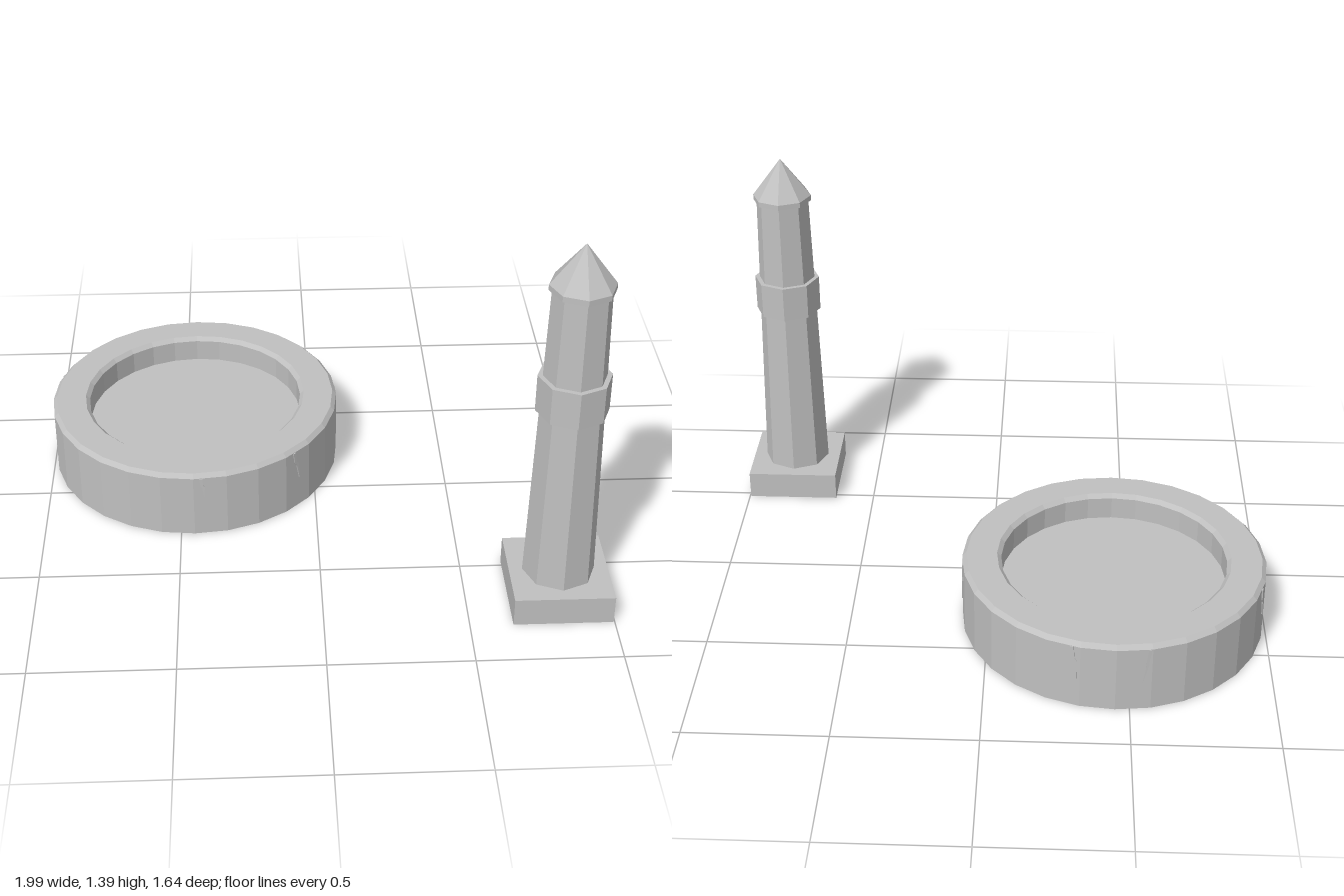
import * as THREE from 'three';

const stone = new THREE.MeshStandardMaterial({ color: 0xc0c0c0, flatShading: true });
stone.name = 'stone';

function add(parent, name, geometry, x = 0, y = 0, z = 0) {
  const mesh = new THREE.Mesh(geometry, stone);
  mesh.name = name;
  mesh.position.set(x, y, z);
  parent.add(mesh);
  return mesh;
}

// Jagged sliver that tapers downwards, hanging from its top
function crackGeometry(length, lean) {
  const shape = new THREE.Shape([
    [-0.006, 0], [0.006, 0], [0.004 + lean * 0.3, -length * 0.35],
    [0.009 + lean * 0.5, -length * 0.45], [lean, -length],
    [lean * 0.5 - 0.001, -length * 0.5], [lean * 0.3 - 0.005, -length * 0.38],
  ].map(([x, y]) => new THREE.Vector2(x, y)).reverse());
  return new THREE.ExtrudeGeometry(shape, { depth: 0.008, bevelEnabled: false });
}

function createBasin() {
  const basin = new THREE.Group();
  basin.name = 'basin';
  basin.position.set(-0.45, 0, -0.275);

  // Hollow ring with bevelled top edges
  const profile = [
    [0.405, 0], [0.545, 0], [0.545, 0.245], [0.53, 0.26],
    [0.42, 0.26], [0.405, 0.245], [0.405, 0],
  ].map(([r, y]) => new THREE.Vector2(r, y));
  add(basin, 'basinRing', new THREE.LatheGeometry(profile, 28));

  // Raised floor inside the ring
  add(basin, 'basinFloor', new THREE.CylinderGeometry(0.407, 0.407, 0.01, 28), 0, 0.155, 0);

  // Cracks around the outer wall: angle, length, lean
  const cracks = [
    [3, 0.08, 0.01], [43, 0.12, 0.025], [96, 0.16, -0.02],
    [164, 0.13, 0.02], [192, 0.14, -0.025], [252, 0.12, 0.02],
  ];
  for (const [degrees, length, lean] of cracks) {
    const a = THREE.MathUtils.degToRad(degrees);
    const crack = add(basin, 'crack', crackGeometry(length, lean),
      Math.sin(a) * 0.538, 0.244, Math.cos(a) * 0.538);
    crack.rotation.y = a;
  }
  return basin;
}

function createPillar() {
  const pillar = new THREE.Group();
  pillar.name = 'pillar';
  pillar.position.set(0.823, 0, 0.65);

  add(pillar, 'plinth', new THREE.BoxGeometry(0.346, 0.105, 0.346), 0, 0.0525, 0);

  // Octagonal parts: name, top radius, bottom radius, bottom y, top y
  const parts = [
    ['shaft', 0.099, 0.126, 0.105, 1.225],
    ['band', 0.124, 0.124, 0.77, 0.905],
    ['capRim', 0.11, 0.11, 1.225, 1.245],
    ['capSpire', 0, 0.11, 1.245, 1.39],
  ];
  for (const [name, top, bottom, y0, y1] of parts) {
    add(pillar, name, new THREE.CylinderGeometry(top, bottom, y1 - y0, 8), 0, (y0 + y1) / 2, 0);
  }
  return pillar;
}

export function createModel() {
  const model = new THREE.Group();
  model.name = 'basinAndPillar';
  model.add(createBasin(), createPillar());
  return model;
}
